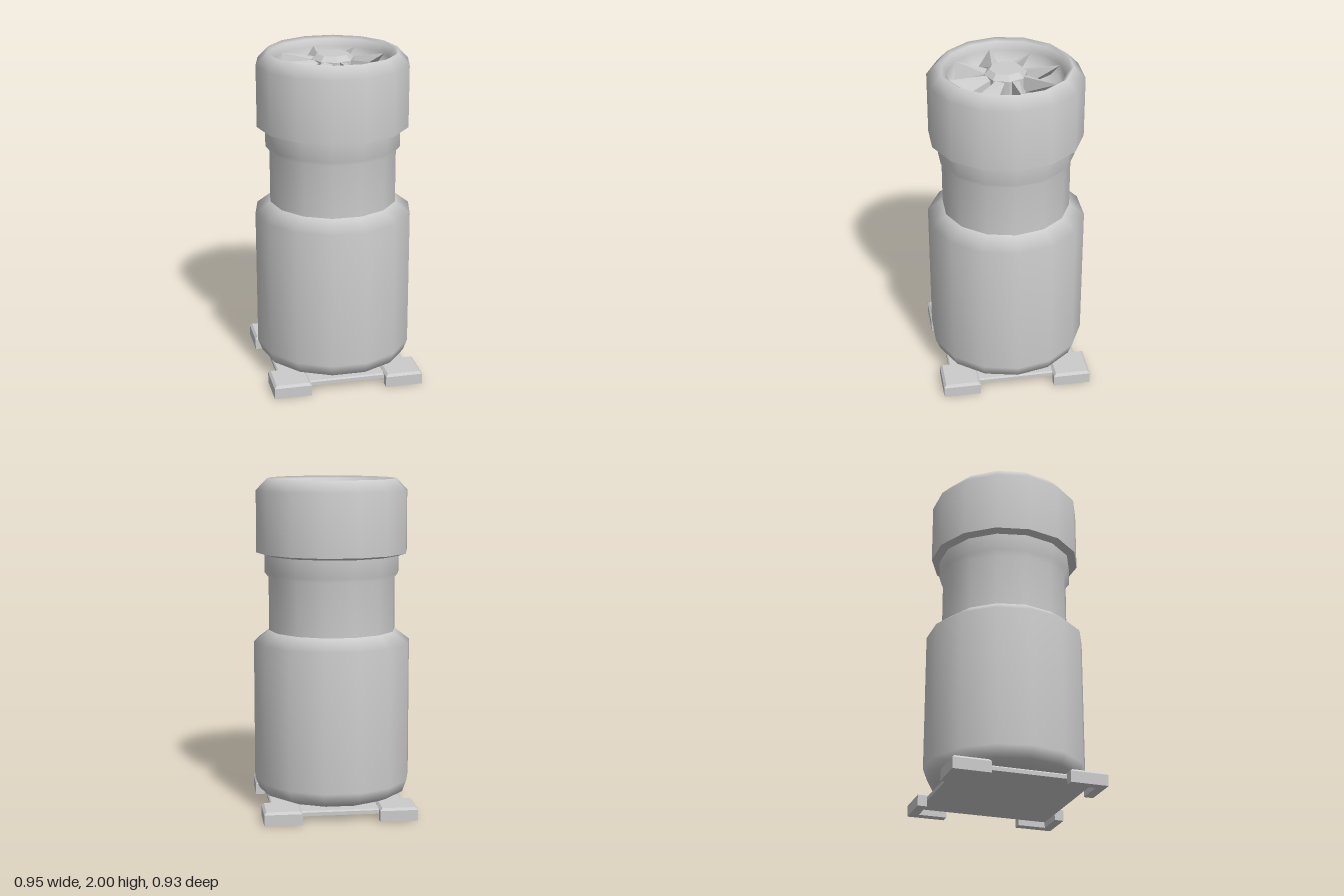
import * as THREE from 'three';

const material = new THREE.MeshStandardMaterial({ color: 0xcccccc, side: THREE.DoubleSide });
const flat = new THREE.MeshStandardMaterial({ color: 0xcccccc, side: THREE.DoubleSide, flatShading: true });

function add(parent, name, geometry, mat = flat) {
  const mesh = new THREE.Mesh(geometry, mat);
  mesh.name = name;
  parent.add(mesh);
  return mesh;
}

// Turned part with a corner on the x axis; profile runs bottom to top
function turned(profile, sides) {
  return new THREE.LatheGeometry(profile.map(([r, y]) => new THREE.Vector2(r, y)), sides, Math.PI / 2);
}

// Square block whose top edges are chamfered by b
function chamferedBlock(w, y0, y1, b) {
  const d = Math.SQRT1_2;
  return turned([[0, y0], [w * d, y0], [w * d, y1 - b], [(w - 2 * b) * d, y1], [0, y1]], 4)
    .rotateY(Math.PI / 4);
}

// One fan blade: a twisted wedge from the hub to a pointed tip
function bladeGeometry() {
  const at = (r, deg, y) => {
    const a = THREE.MathUtils.degToRad(deg);
    return [r * Math.cos(a), y, r * Math.sin(a)];
  };
  const p = [
    at(0.115, -0.5, 1.95), at(0.115, -25, 1.94), at(0.328, 0, 1.95), // top edge
    at(0.309, -14.5, 1.86), at(0.115, -25, 1.85), at(0.115, -0.5, 1.85), // lower edge
  ];
  const faces = [[0, 1, 2], [1, 3, 2], [1, 4, 3], [0, 2, 5], [2, 3, 5], [3, 4, 5]];
  const g = new THREE.BufferGeometry();
  g.setAttribute('position', new THREE.Float32BufferAttribute(faces.flat().flatMap(i => p[i]), 3));
  g.computeVertexNormals();
  return g;
}

export function createModel() {
  const model = new THREE.Group();
  model.name = 'ventilationTower';

  // Lower drum with rounded foot and sloping shoulder
  add(model, 'drum', turned([
    [0, 0.08], [0.38, 0.08], [0.45, 0.11], [0.476, 0.18], [0.476, 1.02], [0.384, 1.09],
  ], 14), material);

  // Narrow neck flaring under the collar
  add(model, 'neck', turned([
    [0.384, 1.09], [0.384, 1.41], [0.408, 1.44], [0.408, 1.55],
  ], 14), material);

  // Collar: separate underside keeps its edge sharp
  add(model, 'collarUnderside', turned([[0.39, 1.54], [0.457, 1.56]], 14), material);
  add(model, 'collar', turned([
    [0.457, 1.56], [0.457, 1.93], [0.39, 2], [0.365, 1.985], [0.342, 1.94],
    [0.335, 1.86], [0.24, 1.81], [0.1, 1.79],
  ], 14), material);

  // Fan in the mouth of the collar
  const fan = new THREE.Group();
  fan.name = 'fan';
  model.add(fan);
  add(fan, 'hub', turned([[0.125, 1.78], [0.125, 1.95], [0.095, 1.98], [0, 1.98]], 8));
  const blade = bladeGeometry();
  for (let i = 0; i < 8; i++) {
    add(fan, 'blade', blade).rotation.y = THREE.MathUtils.degToRad(8 + i * 45);
  }

  // Base plate
  add(model, 'basePlate', chamferedBlock(0.8, 0.035, 0.065, 0.008));

  // Corner feet: a chamfered pad with an L-shaped skirt on its outer edges
  for (const sx of [-1, 1]) for (const sz of [-1, 1]) {
    const foot = new THREE.Group();
    foot.name = 'foot';
    model.add(foot);
    add(foot, 'footPad', chamferedBlock(0.226, 0.035, 0.08, 0.014)).position.set(sx * 0.343, 0, sz * 0.343);
    add(foot, 'footSkirtSide', new THREE.BoxGeometry(0.056, 0.035, 0.226))
      .position.set(sx * 0.428, 0.0175, sz * 0.343);
    add(foot, 'footSkirtEnd', new THREE.BoxGeometry(0.17, 0.035, 0.056))
      .position.set(sx * 0.315, 0.0175, sz * 0.428);
  }
  return model;
}
